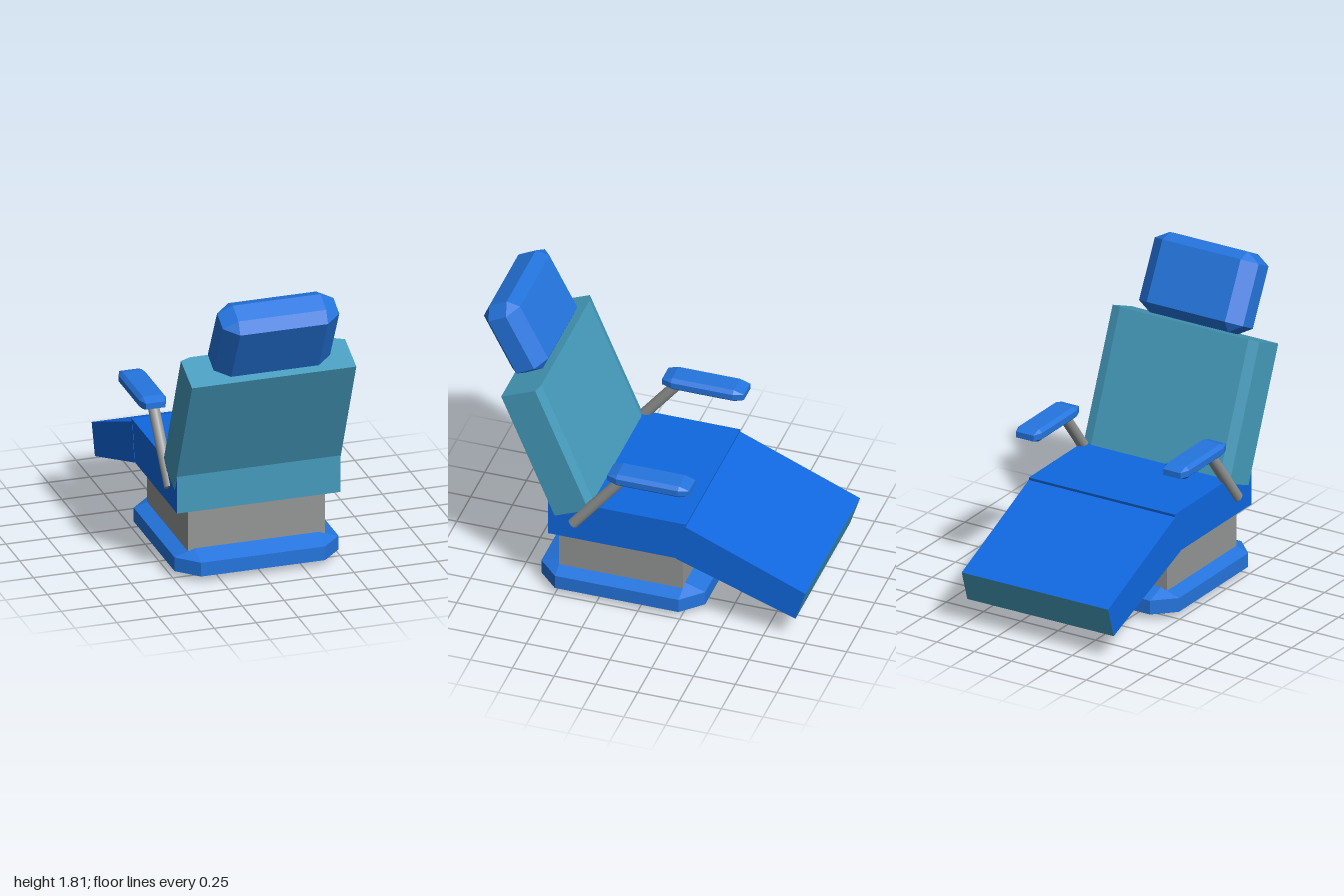
import * as THREE from 'three';
import { ConvexGeometry } from 'three/addons/geometries/ConvexGeometry.js';

const material = (name, color) => {
  const m = new THREE.MeshStandardMaterial({ color });
  m.name = name;
  return m;
};

// Box of half sizes h with bevelled edges; c is the bevel along each axis
function bevelledBox(h, c) {
  const points = [];
  for (const sx of [-1, 1]) for (const sy of [-1, 1]) for (const sz of [-1, 1]) {
    for (let full = 0; full < 3; full++) {
      const p = [sx, sy, sz].map((s, i) => s * (i === full ? h[i] : h[i] - c[i]));
      points.push(new THREE.Vector3(...p));
    }
  }
  return new ConvexGeometry(points);
}

// Box whose side outline is four [z, y] corners
function slab(width, { rearTop, rearBottom, frontTop, frontBottom }) {
  const geo = new THREE.BoxGeometry(width, 1, 1);
  const pos = geo.attributes.position;
  for (let i = 0; i < pos.count; i++) {
    const top = pos.getY(i) > 0;
    const rear = pos.getZ(i) > 0;
    const [z, y] = rear ? (top ? rearTop : rearBottom) : (top ? frontTop : frontBottom);
    pos.setXYZ(i, pos.getX(i), y, z);
  }
  geo.computeVertexNormals();
  return geo;
}

export function createModel() {
  const group = new THREE.Group();
  const seatBlue = material('seatBlue', 0x0f68e0);
  const padBlue = material('padBlue', 0x2475de);
  const teal = material('teal', 0x459bbc);
  const grey = material('grey', 0x949696);

  const add = (name, geo, mat, x = 0, y = 0, z = 0) => {
    const mesh = new THREE.Mesh(geo, mat);
    mesh.name = name;
    mesh.position.set(x, y, z);
    group.add(mesh);
    return mesh;
  };

  // Base and pedestal
  add('base', bevelledBox([0.49, 0.0825, 0.49], [0.12, 0.04, 0.12]), padBlue, 0, 0.0825, 0.13);
  add('pedestal', new THREE.BoxGeometry(0.82, 0.27, 0.74), grey, 0, 0.285, 0.13);

  // Seat: blue with teal rear and underside
  add('seat', slab(0.976, {
    rearTop: [0.54, 0.66], rearBottom: [0.54, 0.413],
    frontTop: [-0.285, 0.66], frontBottom: [-0.235, 0.413],
  }), [seatBlue, seatBlue, seatBlue, teal, teal, seatBlue]);

  // Leg rest: blue with a teal end
  add('legRest', slab(0.98, {
    rearTop: [-0.265, 0.65], rearBottom: [-0.225, 0.411],
    frontTop: [-1, 0.34], frontBottom: [-0.94, 0.153],
  }), [seatBlue, seatBlue, seatBlue, seatBlue, seatBlue, teal]);

  // Backrest: plan outline with chamfered front edges, extruded upward and tilted
  const plan = new THREE.Shape([
    [-0.491, -0.12], [0.491, -0.12], [0.491, 0.1], [0.43, 0.12], [-0.43, 0.12], [-0.491, 0.1],
  ].map(([x, y]) => new THREE.Vector2(x, y)));
  const backGeo = new THREE.ExtrudeGeometry(plan, { depth: 0.825, bevelEnabled: false });
  backGeo.rotateX(-Math.PI / 2);
  add('backrest', backGeo, teal, 0, 0.5925, 0.39).rotation.x = 0.398;

  // Headrest
  const head = bevelledBox([0.348, 0.235, 0.122], [0.086, 0.052, 0.063]);
  add('headrest', head, padBlue, 0, 1.57, 0.808).rotation.x = 0.478;

  // Armrests on slanted posts
  const armGeo = bevelledBox([0.08, 0.038, 0.245], [0.022, 0.02, 0.06]);
  const foot = new THREE.Vector3(0, 0.515, 0.392);
  const top = new THREE.Vector3(0, 0.92, 0.07);
  const along = top.clone().sub(foot);
  const postGeo = new THREE.CylinderGeometry(0.033, 0.033, along.length(), 16);
  for (const [side, s] of [['left', 1], ['right', -1]]) {
    add(side + 'Armrest', armGeo, padBlue, s * 0.492, 0.928, -0.078);
    const mid = foot.clone().add(top).multiplyScalar(0.5);
    const post = add(side + 'ArmrestPost', postGeo, grey, s * 0.482, mid.y, mid.z);
    post.quaternion.setFromUnitVectors(new THREE.Vector3(0, 1, 0), along.clone().normalize());
  }

  return group;
}
